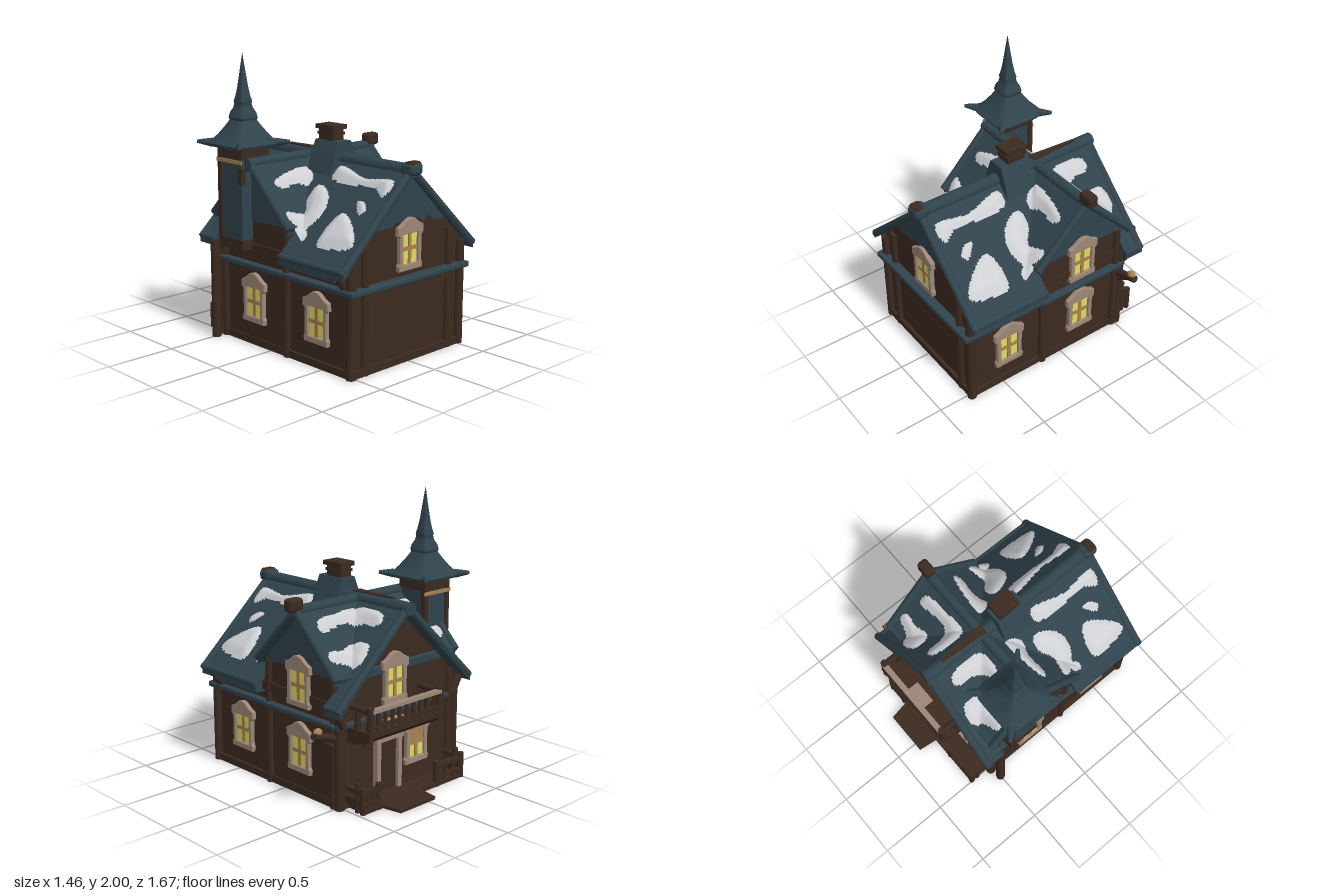
import * as THREE from 'three';
import { toCreasedNormals } from 'three/addons/utils/BufferGeometryUtils.js';
import { RoundedBoxGeometry } from 'three/addons/geometries/RoundedBoxGeometry.js';

const mat = (name, color) => Object.assign(new THREE.MeshStandardMaterial({ color }), { name });
const ROOF = mat('slate blue roof', 0x30434c);
const WOOD = mat('dark brown wood', 0x3c2a20);
const FRAME = mat('tan frame', 0x9c8777);
const GLOW = mat('yellow glass', 0xe0da62);
const SNOW = mat('snow', 0xcfd0d4);
const GOLD = mat('ochre trim', 0xa8814f);

// Roof rules: main ridge runs along z, cross ridge along x at z = CZ
const CZ = -0.16, MK = 0.95, CK = 1.05;
const roofY = (x, z) => Math.max(1.31 - MK * Math.abs(x), 1.3 - CK * Math.abs(z - CZ));

// Is a plan point inside an outline?
function inside(x, y, pts) {
  let hit = false;
  pts.forEach((a, i) => {
    const b = pts[(i + 1) % pts.length];
    if ((a.y > y) !== (b.y > y) && x < a.x + (b.x - a.x) * (y - a.y) / (b.y - a.y)) hit = !hit;
  });
  return hit;
}

// Snow drift: the cells of a grid that lie inside a smooth outline, draped over the roof and swelling inwards
function snowGeometry(points, side) {
  const outline = new THREE.CatmullRomCurve3(
    points.map(([x, z]) => new THREE.Vector3(side * x, z, 0)), true).getSpacedPoints(60);
  const { min, max } = new THREE.Box3().setFromPoints(outline);
  const w = max.x - min.x, d = max.y - min.y;
  const geo = new THREE.PlaneGeometry(w, d, Math.ceil(w / 0.01), Math.ceil(d / 0.01))
    .rotateX(-Math.PI / 2).translate((min.x + max.x) / 2, 0, (min.y + max.y) / 2);
  const p = geo.attributes.position, all = geo.index.array, kept = [];
  for (let i = 0; i < all.length; i += 6) {
    const a = all[i], b = all[i + 4];
    if (inside((p.getX(a) + p.getX(b)) / 2, (p.getZ(a) + p.getZ(b)) / 2, outline)) kept.push(...all.slice(i, i + 6));
  }
  for (let i = 0; i < p.count; i++) {
    const x = p.getX(i), z = p.getZ(i);
    const edge = inside(x, z, outline) ? Math.min(...outline.map(o => Math.hypot(o.x - x, o.y - z))) : 0;
    p.setY(i, roofY(x, z) + 0.008 + 0.03 * Math.sin(Math.min(edge / 0.06, 1) * Math.PI / 2));
  }
  geo.setIndex(kept);
  geo.computeVertexNormals();
  return geo;
}

export function createModel() {
  const house = new THREE.Group();
  house.name = 'house';

  const add = (name, geo, material, x = 0, y = 0, z = 0, parent = house) => {
    const m = new THREE.Mesh(geo, material);
    m.name = name;
    m.position.set(x, y, z);
    parent.add(m);
    return m;
  };
  // Box given by its limits
  const box = (name, material, x0, x1, y0, y1, z0, z1, parent = house) =>
    add(name, new THREE.BoxGeometry(x1 - x0, y1 - y0, z1 - z0), material,
      (x0 + x1) / 2, (y0 + y1) / 2, (z0 + z1) / 2, parent);
  const soft = (name, material, x0, x1, y0, y1, z0, z1, r) =>
    add(name, new RoundedBoxGeometry(x1 - x0, y1 - y0, z1 - z0, 2, r), material,
      (x0 + x1) / 2, (y0 + y1) / 2, (z0 + z1) / 2);
  // Round beam between two points
  const beam = (name, material, a, b, r, r2 = r) => {
    const p = new THREE.Vector3(...a), q = new THREE.Vector3(...b), d = q.clone().sub(p);
    const m = add(name, new THREE.CylinderGeometry(r2, r, d.length(), 10), material);
    m.position.copy(p).add(q).multiplyScalar(0.5);
    m.quaternion.setFromUnitVectors(new THREE.Vector3(0, 1, 0), d.normalize());
    return m;
  };
  const poly = pts => new THREE.Shape(pts.map(p => new THREE.Vector2(...p)));
  const prism = (pts, z0, z1) =>
    new THREE.ExtrudeGeometry(poly(pts), { depth: z1 - z0, bevelEnabled: false }).translate(0, 0, z0);
  const chevron = (w, top, k, t) => [[0, top], [-w, top - k * w], [-w, top - k * w - t],
    [0, top - t], [w, top - k * w - t], [w, top - k * w]];
  const gable = (w, top, k) => [[-w, 0], [w, 0], [w, top - k * w], [0, top], [-w, top - k * w]];
  const across = geo => geo.rotateY(Math.PI / 2).translate(0, 0, CZ);

  // Walls
  add('mainWalls', prism(gable(0.515, 1.26, MK), -0.53, 0.75), WOOD);
  add('crossWalls', across(prism(gable(0.33, 1.26, CK), -0.525, 0.525)), WOOD);
  add('frontGablePanel', prism([[-0.34, 0.93], [-0.16, 0.93], [-0.13, 0.955], [0.1, 0.955], [0.14, 0.925],
    [0.2, 0.965], [0.24, 0.915], [0.35, 0.92], [0, 1.26]], 0.75, 0.758), ROOF);
  for (const s of [-1, 1])
    add('sideGablePanel', across(prism([[-0.35, 0.88], [0.35, 0.88], [0, 1.26]],
      s * 0.529 - 0.004, s * 0.529 + 0.004)), ROOF);

  // Roof slabs
  add('frontRoof', prism(chevron(0.625, 1.31, MK, 0.05), 0.19, 0.79), ROOF);
  add('middleRoof', prism(chevron(0.43, 1.31, MK, 0.05), -0.52, 0.22), ROOF);
  add('backRoof', prism(chevron(0.625, 1.31, MK, 0.05), -0.64, -0.49), ROOF);
  add('crossRoof', across(prism(chevron(0.38, 1.3, CK, 0.05), -0.575, 0.575)), ROOF);

  // Ridge caps, rakes and eave rolls
  beam('mainRidge', ROOF, [0, 1.28, -0.65], [0, 1.28, 0.8], 0.046);
  beam('crossRidge', ROOF, [-0.59, 1.275, CZ], [0.59, 1.275, CZ], 0.038);
  for (const s of [-1, 1]) {
    for (const z of [0.775, -0.62])
      beam('mainRake', ROOF, [0, 1.285, z], [s * 0.625, 0.705, z], 0.028);
    beam('frontEave', ROOF, [s * 0.61, 0.715, 0.19], [s * 0.61, 0.715, 0.8], 0.023);
    beam('backEave', ROOF, [s * 0.61, 0.715, -0.64], [s * 0.61, 0.715, -0.49], 0.023);
    box('underEave', ROOF, s * 0.555 - 0.045, s * 0.555 + 0.045, 0.64, 0.7, 0.22, 0.69);
    for (const t of [-1, 1]) {
      beam('crossRake', ROOF, [s * 0.565, 1.28, CZ], [s * 0.565, 0.885, CZ + t * 0.39], 0.027);
      beam('crossEave', ROOF, [s * 0.4, 0.89, CZ + t * 0.375], [s * 0.58, 0.89, CZ + t * 0.375], 0.02);
    }
  }
  add('ridgeBoard', prism([[-0.01, 0.5], [-0.035, 0.14], [0.035, 0.14], [0.01, 0.5]], 0, 0.008)
    .rotateX(-Math.PI / 2), WOOD, 0, 1.324, 0);
  soft('frontFinial', ROOF, -0.06, 0.06, 1.25, 1.34, 0.72, 0.835, 0.035);
  soft('frontFinialTop', WOOD, -0.05, 0.05, 1.3, 1.345, 0.75, 0.825, 0.02);
  soft('sideFinial', WOOD, 0.52, 0.64, 1.275, 1.365, CZ - 0.04, CZ + 0.04, 0.025);

  // Chimney
  add('chimneyBase', prism([[-0.14, 1.17], [0.14, 1.17], [0.1, 1.3], [0.06, 1.4], [-0.06, 1.4], [-0.1, 1.3]],
    -0.06, 0.165), ROOF);
  box('chimneyStack', WOOD, -0.05, 0.05, 1.35, 1.49, -0.035, 0.1);
  box('chimneyLowerCap', WOOD, -0.055, 0.055, 1.435, 1.455, -0.045, 0.11);
  box('chimneyTopCap', WOOD, -0.065, 0.065, 1.475, 1.505, -0.055, 0.12);

  // Corner tower with a stepped, flared spire of rounded-square section
  const tower = new THREE.Group();
  tower.name = 'tower';
  tower.position.set(-0.5, 0, -0.3);
  house.add(tower);
  box('towerBody', ROOF, -0.115, 0.115, 0.74, 1.38, -0.115, 0.115, tower);
  box('towerCollar', WOOD, -0.12, 0.12, 1.3, 1.395, -0.12, 0.12, tower);
  box('towerFoot', WOOD, -0.12, 0.12, 0.68, 0.75, -0.12, 0.12, tower);
  box('towerBackTrim', GOLD, -0.13, 0.13, 1.27, 1.295, -0.132, -0.124, tower);
  box('towerSideTrim', GOLD, -0.132, -0.124, 1.27, 1.295, -0.13, 0.13, tower);
  const profile = [[0, 1.375], [0.185, 1.375], [0.195, 1.395], [0.165, 1.42], [0.135, 1.455], [0.1, 1.505],
    [0.072, 1.55], [0.078, 1.565], [0.07, 1.6], [0.053, 1.63], [0.046, 1.66], [0.05, 1.675], [0.04, 1.71],
    [0.029, 1.77], [0.015, 1.88], [0, 2]];
  const spire = new THREE.LatheGeometry(profile.map(p => new THREE.Vector2(...p)), 32);
  const sp = spire.attributes.position;
  for (let i = 0; i < sp.count; i++) {
    const x = sp.getX(i), z = sp.getZ(i), r = Math.hypot(x, z);
    const k = r > 0 ? r / Math.pow(x ** 6 + z ** 6, 1 / 6) : 1;
    sp.setX(i, x * k);
    sp.setZ(i, z * k);
  }
  add('spire', toCreasedNormals(spire, 0.6), ROOF, 0, 0, 0, tower);
  for (const s of [-1, 1]) {
    box('towerPost', WOOD, s * 0.108 - 0.018, s * 0.108 + 0.018, 0.74, 1.38, -0.126, -0.09, tower);
    box('towerBlock', WOOD, s * 0.108 - 0.018, s * 0.108 + 0.018, 1.13, 1.24, 0.09, 0.126, tower);
    for (const t of [-1, 1])
      tower.add(beam('spireHorn', ROOF, [s * 0.15, 1.395, t * 0.15], [s * 0.222, 1.402, t * 0.222], 0.032, 0.012));
  }

  // Storey band, skirting, posts
  soft('storeyBand', ROOF, -0.57, 0.56, 0.548, 0.588, -0.55, 0.815, 0.012);
  soft('crossStoreyBand', ROOF, -0.57, 0.57, 0.548, 0.588, -0.51, 0.185, 0.012);
  box('skirting', WOOD, -0.535, 0.535, 0, 0.05, -0.545, 0.775);
  box('upperBelt', WOOD, -0.54, 0.54, 0.66, 0.72, -0.53, 0.75);
  for (const s of [-1, 1]) {
    beam('frontCornerPost', WOOD, [s * 0.52, 0, 0.755], [s * 0.52, 0.74, 0.755], 0.033);
    beam('frontPost', WOOD, [s * 0.4, 0, 0.752], [s * 0.4, 0.84, 0.752], 0.03);
    beam('backCornerPost', WOOD, [s * 0.52, 0, -0.525], [s * 0.52, 0.76, -0.525], 0.035);
    for (const z of [0.16, -0.48])
      beam('sidePost', WOOD, [s * 0.525, 0, z], [s * 0.525, 0.88, z], 0.028);
    for (const z of [0.7, -0.56])
      beam('eaveBracket', WOOD, [s * 0.52, 0.58, z], [s * 0.59, 0.7, z], 0.03);
  }
  box('frontPanelRail', WOOD, -0.4, 0.4, 0.5, 0.55, 0.74, 0.775);
  beam('towerColumn', WOOD, [-0.605, 0, -0.5], [-0.605, 0.7, -0.5], 0.033);

  // Windows: arched frame, glowing pane and cross bars, facing +z before turning
  const frameShape = poly([[-0.105, -0.14], [0.105, -0.14], [0.108, -0.11], [0.097, -0.09], [0.098, 0.085],
    [0.118, 0.1], [0.115, 0.145], [0.075, 0.165], [0.035, 0.195], [0, 0.205], [-0.035, 0.195], [-0.075, 0.165],
    [-0.115, 0.145], [-0.118, 0.1], [-0.098, 0.085], [-0.097, -0.09], [-0.108, -0.11]]);
  frameShape.holes.push(new THREE.Path([[-0.075, -0.105], [-0.075, 0.105], [0.075, 0.105], [0.075, -0.105]]
    .map(p => new THREE.Vector2(...p))));
  const frameGeo = new THREE.ExtrudeGeometry(frameShape,
    { depth: 0.026, bevelThickness: 0.005, bevelSize: 0.004, bevelSegments: 1 });
  const addWindow = (x, y, z, turn) => {
    const g = new THREE.Group();
    g.name = 'window';
    g.position.set(x, y, z);
    g.rotation.y = turn;
    house.add(g);
    add('windowFrame', frameGeo, FRAME, 0, 0, 0, g);
    box('windowPane', GLOW, -0.077, 0.077, -0.107, 0.107, 0.005, 0.013, g);
    box('uprightBar', GOLD, -0.013, 0.013, -0.105, 0.105, 0.013, 0.02, g);
    box('crossBar', GOLD, -0.075, 0.075, -0.012, 0.014, 0.013, 0.02, g);
    return g;
  };
  addWindow(0, 0.77, 0.752, 0);
  addWindow(0.035, 0.78, -0.53, Math.PI);
  box('shadedPane', GOLD, -0.075, 0.075, 0.01, 0.105, 0.013, 0.018, addWindow(-0.18, 0.3, -0.53, Math.PI));
  for (const s of [-1, 1]) {
    addWindow(s * 0.525, 0.31, CZ, s * Math.PI / 2);
    addWindow(s * 0.515, 0.31, 0.45, s * Math.PI / 2);
  }
  addWindow(0.53, 0.77, CZ, Math.PI / 2);

  // Back door and porch
  for (const x of [0, 0.2]) box('doorJamb', FRAME, x - 0.018, x + 0.018, 0.03, 0.41, -0.57, -0.53);
  box('doorLintel', FRAME, -0.03, 0.23, 0.39, 0.43, -0.575, -0.53);
  box('door', WOOD, 0.01, 0.19, 0.03, 0.4, -0.545, -0.53);
  box('porchFloor', WOOD, -0.48, 0.45, 0, 0.03, -0.7, -0.53);
  add('porchStep', prism([[-0.06, 0.84], [0.27, 0.84], [0.3, 0.68], [-0.08, 0.68]], 0, 0.022)
    .rotateX(-Math.PI / 2), WOOD);
  for (const [x0, x1] of [[-0.49, -0.24], [0.32, 0.46]]) {
    box('porchRail', WOOD, x0, x1, 0.13, 0.16, -0.7, -0.67);
    box('porchLowRail', WOOD, x0, x1, 0.05, 0.075, -0.7, -0.67);
    for (let i = 0; i < 4; i++) {
      const x = x0 + (x1 - x0) * i / 3;
      beam('porchBaluster', WOOD, [x, 0, -0.685], [x, i % 3 ? 0.14 : 0.18, -0.685], i % 3 ? 0.014 : 0.022);
    }
    const outer = x0 < 0 ? x0 : x1;
    box('porchSideRail', WOOD, outer - 0.015, outer + 0.015, 0.13, 0.16, -0.69, -0.53);
    box('porchSidePanel', WOOD, outer - 0.012, outer + 0.012, 0.03, 0.09, -0.69, -0.53);
    beam('porchMidPost', WOOD, [outer, 0, -0.635], [outer, 0.2, -0.635], 0.02);
  }

  // Balcony
  add('balconyFloor', prism([[0.53, 0.46], [0.53, 0.56], [0.735, 0.56], [0.735, 0.52], [0.69, 0.48], [0.6, 0.46]],
    -0.25, 0.46).rotateY(Math.PI / 2), WOOD);
  for (const x of [-0.22, 0.43]) {
    beam('balconyPost', WOOD, [x, 0.5, -0.715], [x, 0.725, -0.715], 0.026);
    beam('balconySideRail', WOOD, [x, 0.695, -0.53], [x, 0.695, -0.715], 0.022);
    beam('balconySideBaluster', WOOD, [x, 0.55, -0.6], [x, 0.7, -0.6], 0.02);
  }
  box('balconyLowRail', WOOD, -0.24, 0.45, 0.58, 0.6, -0.73, -0.71);
  box('balconyHandrail', FRAME, -0.22, 0.43, 0.685, 0.71, -0.74, -0.7);
  box('balconyMat', FRAME, 0.03, 0.21, 0.56, 0.566, -0.68, -0.6);
  for (let i = 1; i < 10; i++)
    beam('balconyBaluster', WOOD, [-0.22 + i * 0.065, 0.55, -0.72], [-0.22 + i * 0.065, 0.69, -0.72], 0.014);

  // Lamp arm on the back left corner
  beam('lampArm', WOOD, [0.52, 0.49, -0.5], [0.72, 0.55, -0.5], 0.028);
  beam('lampBrace', WOOD, [0.54, 0.43, -0.5], [0.67, 0.52, -0.5], 0.012);
  add('lamp', new THREE.SphereGeometry(0.026, 12, 8).scale(1.3, 1, 1), GOLD, 0.685, 0.57, -0.5);

  // Snow patches in plan, mirrored
  const patches = [
    [[0.08, 0.2], [0.15, 0.2], [0.17, 0.4], [0.16, 0.6], [0.2, 0.72], [0.11, 0.73], [0.12, 0.48]],
    [[0.33, 0.48], [0.42, 0.43], [0.52, 0.44], [0.53, 0.55], [0.49, 0.73], [0.4, 0.65]],
    [[0.25, 0.54], [0.32, 0.62], [0.29, 0.65], [0.25, 0.6]],
    [[0.13, -0.06], [0.3, -0.06], [0.48, -0.01], [0.45, 0.02], [0.3, 0.015], [0.18, 0.04]],
    [[0.21, 0.12], [0.29, 0.11], [0.37, 0.17], [0.52, 0.15], [0.52, 0.2], [0.4, 0.31], [0.3, 0.31], [0.22, 0.22]],
    [[0.46, 0.24], [0.52, 0.24], [0.52, 0.31], [0.48, 0.31]],
    [[0.1, -0.5], [0.15, -0.51], [0.18, -0.35], [0.23, -0.3], [0.48, -0.31], [0.47, -0.26], [0.3, -0.24], [0.1, -0.24], [0.08, -0.3]],
    [[0.27, -0.54], [0.38, -0.56], [0.42, -0.5], [0.53, -0.46], [0.52, -0.42], [0.4, -0.42], [0.28, -0.41]],
  ];
  for (const s of [-1, 1]) for (const pts of patches) add('snowPatch', snowGeometry(pts, s), SNOW);
  return house;
}
